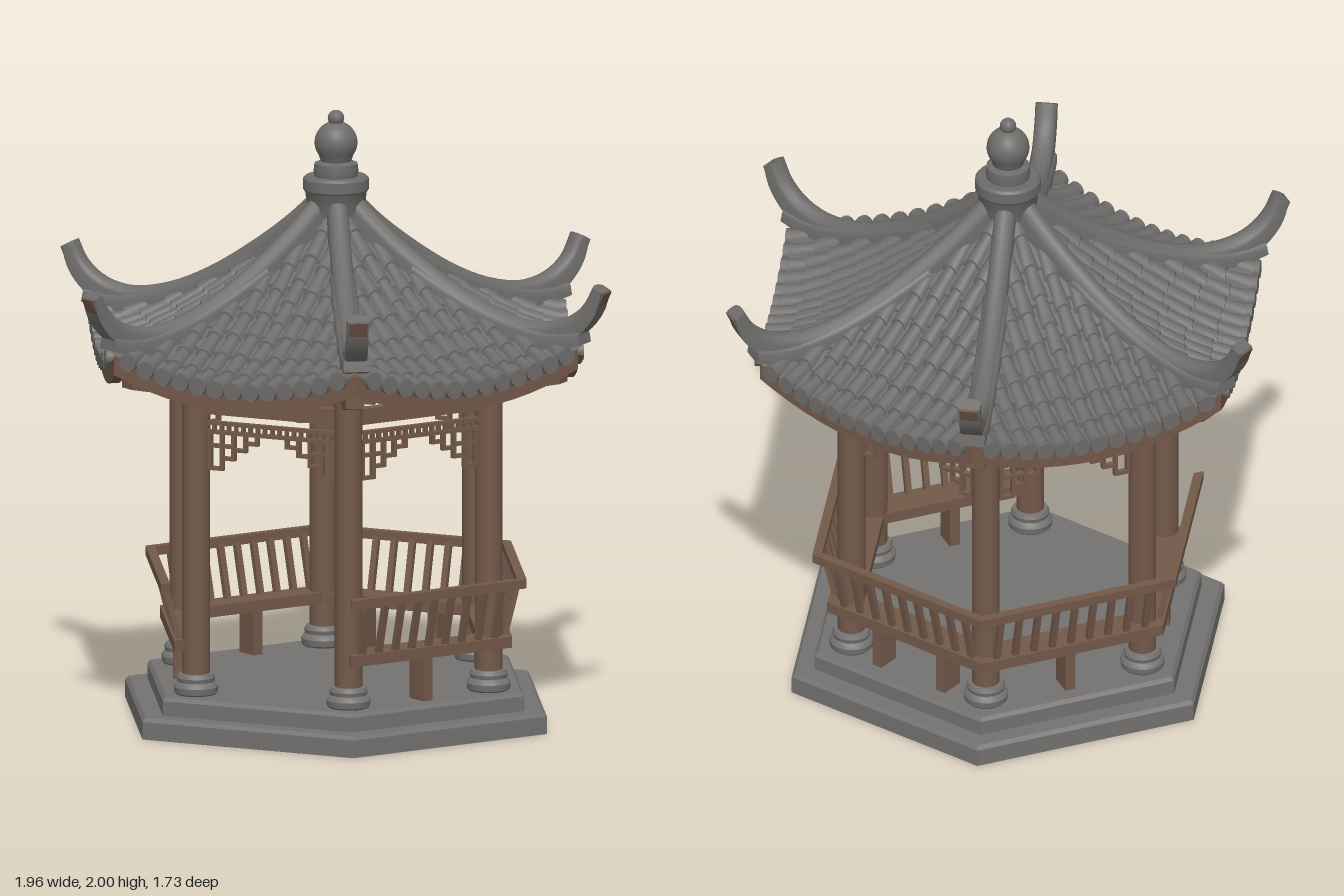
import * as THREE from 'three';
import { mergeGeometries, toCreasedNormals } from 'three/addons/utils/BufferGeometryUtils.js';

const T30 = Math.tan(Math.PI / 6);
const EAVE = 0.77; // distance from the axis to the middle of an eave

const mat = (name, color) => Object.assign(new THREE.MeshStandardMaterial({ color }), { name });

// Skin closed rings of points, with flat end caps
function loft(rings, crease = 0.6) {
  const n = rings[0].length, last = (rings.length - 1) * n, index = [];
  for (let i = 0; i < rings.length - 1; i++) {
    for (let j = 0; j < n; j++) {
      const a = i * n + j, b = i * n + (j + 1) % n;
      index.push(a, b, b + n, a, b + n, a + n);
    }
  }
  for (let j = 1; j < n - 1; j++) index.push(0, j + 1, j, last, last + j, last + j + 1);
  const g = new THREE.BufferGeometry();
  g.setAttribute('position', new THREE.Float32BufferAttribute(rings.flat(2), 3));
  g.setIndex(index);
  return toCreasedNormals(g, crease);
}

// Roof height: a = distance from the axis, s = -1..1 across the face
function roofY(a, s) {
  const t = Math.min(a / EAVE, 1);
  return 1.19 + 0.5 * Math.pow(1 - t, 1.4) + 0.09 * t * t * s * s;
}

// Bar along one hexagon side, mitred at both corners
function hexBar(z0, z1, y0, y1, lift = () => 0, n = 1) {
  const rings = [];
  for (let i = 0; i <= n; i++) {
    const s = -1 + 2 * i / n, d = lift(s);
    rings.push([[z0, y1], [z1, y1], [z1, y0], [z0, y0]].map(([z, y]) => [s * z * T30, y + d, z]));
  }
  return loft(rings);
}

// Round-topped ridge following points [x, y] outwards
function ridge(points, w, h0, h1) {
  return loft(points.map(([x, y], i) => {
    const p = points[Math.max(i - 1, 0)], q = points[Math.min(i + 1, points.length - 1)];
    const l = Math.hypot(q[0] - p[0], q[1] - p[1]);
    const nx = -(q[1] - p[1]) / l, ny = (q[0] - p[0]) / l;
    const f = i / (points.length - 1), h = h0 + (h1 - h0) * f * f * f, c = h * 0.35;
    const ring = [];
    for (let k = 0; k <= 6; k++) {
      const t = -Math.PI / 2 + k * Math.PI / 6;
      ring.push([c * Math.cos(t) - c, w * Math.sin(t)]);
    }
    ring.push([-h, w], [-h, -w]);
    return ring.map(([d, z]) => [x + nx * d, y + ny * d, z]);
  }), 0.7);
}

// Triangular roof sheet; step raises the lower end of each tile course
function roofSheet(dy, step, side) {
  const ny = 15, g = new THREE.PlaneGeometry(2, 1, 12, ny), p = g.attributes.position;
  for (let i = 0; i < p.count; i++) {
    const row = Math.round((0.5 - p.getY(i)) * ny), s = p.getX(i) * side;
    const a = EAVE * Math.max(0.02, Math.floor((row + 1) / 2) / 8);
    p.setXYZ(i, s * a * T30, roofY(a, s) + dy + (row % 2) * step, a);
  }
  g.deleteAttribute('uv');
  return toCreasedNormals(g, 0.5);
}

// One column of overlapping half-round tiles with a round end
function tileColumn(x) {
  const rings = [], start = Math.abs(x) / T30 + 0.03, step = 0.085;
  const ring = (a, r) => {
    const y = roofY(a, x / (a * T30)) + 0.004, out = [];
    for (let k = 0; k <= 6; k++) {
      const t = k * Math.PI / 6;
      out.push([x + r * Math.cos(t), y + r * Math.sin(t), a]);
    }
    rings.push(out);
  };
  const count = Math.max(1, Math.round((EAVE - start) / step));
  for (let i = 0; i < count; i++) {
    const a0 = start + (EAVE - start) * i / count, a1 = start + (EAVE - start) * (i + 1) / count;
    ring(a0, 0.022);
    ring(a1, 0.03);
  }
  const end = new THREE.CylinderGeometry(0.03, 0.03, 0.02, 12).rotateX(Math.PI / 2);
  end.translate(x, roofY(EAVE, x / (EAVE * T30)) + 0.008, EAVE - 0.003);
  end.deleteAttribute('uv');
  return [loft(rings, 0.7), end.toNonIndexed()];
}

// Rafter under the roof
function rafter(x) {
  const start = Math.abs(x) / T30 + 0.06, rings = [];
  for (let i = 0; i <= 6; i++) {
    const a = start + (0.73 - start) * i / 6, y = roofY(a, x / (a * T30)) - 0.02;
    rings.push([[-1, -0.04], [1, -0.04], [1, 0], [-1, 0]].map(([u, v]) => [x + u * 0.013, y + v, a]));
  }
  return loft(rings);
}

const box = (w, h, d, x, y, z) => {
  const g = new THREE.BoxGeometry(w, h, d).translate(x, y, z);
  g.deleteAttribute('uv');
  return g.toNonIndexed();
};

// Fretwork under the beam: pegged rail and stepped corner brackets
function fretwork() {
  const z = 0.476, t = 0.012, parts = [];
  for (const y of [1.03, 1.0]) parts.push(box(0.47, t, 0.02, 0, y, z));
  for (let i = -8; i <= 8; i++) parts.push(box(0.01, 0.03, 0.016, i * 0.026, 1.015, z));
  for (const m of [-1, 1]) {
    [0.88, 0.915, 0.945, 0.97].forEach((low, i) => {
      const x = 0.222 - i * 0.042;
      parts.push(box(t, 1 - low, 0.018, m * (x - 0.042), (1 + low) / 2, z));
      parts.push(box(0.054, t, 0.018, m * (x - 0.021), low, z));
      if (i < 2) parts.push(box(0.042, t, 0.018, m * (x - 0.021), 0.955, z));
    });
    parts.push(box(t, 0.12, 0.018, m * 0.222, 0.94, z));
  }
  return mergeGeometries(parts);
}

export function createModel() {
  const model = new THREE.Group();
  model.name = 'pavilion';
  const tile = mat('roof tile grey', 0x6d6c6a);
  const stone = mat('stone grey', 0x737270);
  const wood = mat('brown wood', 0x73594a);
  const add = (parent, name, geo, material) => {
    const m = new THREE.Mesh(geo, material);
    m.name = name;
    parent.add(m);
    return m;
  };

  // Two-step hexagonal plinth
  const plinth = (name, r, y0, y1) => {
    const g = new THREE.LatheGeometry([[0, y0], [r, y0], [r, y1 - 0.012], [r - 0.012, y1], [0, y1]]
      .map(p => new THREE.Vector2(...p)), 6, Math.PI / 6);
    add(model, name, toCreasedNormals(g, 0.3), stone);
  };
  plinth('lowerPlinth', 0.76, 0, 0.07);
  plinth('upperPlinth', 0.68, 0.06, 0.13);

  // Finial
  const profile = [[0, 1.66], [0.09, 1.66], [0.1, 1.73], [0.107, 1.74], [0.107, 1.775], [0.1, 1.783],
    [0.07, 1.783], [0.073, 1.8], [0.07, 1.825], [0.05, 1.832]].map(p => new THREE.Vector2(...p));
  for (let i = 1; i <= 10; i++) {
    const t = -0.85 + i * 0.22;
    profile.push(new THREE.Vector2(0.07 * Math.cos(t), 1.893 + 0.07 * Math.sin(t)));
  }
  for (let i = 0; i <= 6; i++) {
    const t = -0.9 + i * (Math.PI / 2 + 0.9) / 6;
    profile.push(new THREE.Vector2(Math.max(0, 0.027 * Math.cos(t)), 1.973 + 0.027 * Math.sin(t)));
  }
  add(model, 'finial', toCreasedNormals(new THREE.LatheGeometry(profile, 28), 0.6), tile);

  // Shared geometry for the six sides
  const columns = [], rafters = [];
  for (let j = -6; j <= 6; j++) columns.push(...tileColumn(j * 0.063));
  for (let j = -4; j <= 4; j++) rafters.push(rafter(j * 0.082));
  const tilesGeo = mergeGeometries(columns), raftersGeo = mergeGeometries(rafters);
  const sheetGeo = roofSheet(0, 0.012, 1), soffitGeo = roofSheet(-0.02, 0, -1);
  const fasciaGeo = hexBar(0.72, 0.755, -0.065, 0.0, s => roofY(EAVE, s), 14);
  const fretGeo = fretwork();
  const slatGeo = new THREE.BoxGeometry(0.02, 0.2, 0.018);

  for (let k = 0; k < 6; k++) {
    const side = new THREE.Group();
    side.name = 'side' + (k + 1);
    side.rotation.y = k * Math.PI / 3;
    model.add(side);
    add(side, 'roofSheet', sheetGeo, tile);
    add(side, 'roofTiles', tilesGeo, tile);
    add(side, 'soffit', soffitGeo, wood);
    add(side, 'rafters', raftersGeo, wood);
    add(side, 'fascia', fasciaGeo, wood);
    add(side, 'ringBeam', hexBar(0.445, 0.505, 1.18, 1.26), wood);
    add(side, 'crossBeam', hexBar(0.456, 0.496, 1.06, 1.112), wood);
    add(side, 'fretwork', fretGeo, wood);
    if (k === 0) continue; // the front stays open as the entrance

    // Bench with a leaning back rail
    add(side, 'benchSeat', hexBar(0.44, 0.55, 0.275, 0.312), wood);
    add(side, 'backRail', hexBar(0.565, 0.595, 0.475, 0.505), wood);
    for (let j = -4; j <= 4; j++) {
      const slat = add(side, 'slat', slatGeo, wood);
      slat.position.set(j * 0.065, 0.395, 0.552);
      slat.rotation.x = 0.24;
    }
    for (const x of k === 3 ? [-0.13, 0.13] : [0]) {
      add(side, 'benchLeg', box(0.036, 0.16, 0.08, x, 0.205, 0.49), wood);
    }
  }

  // Six corners: column, stone foot, hip beam and upswept ridge
  const path = new THREE.CatmullRomCurve3([[0.07, 1.735], [0.18, 1.635], [0.3, 1.545], [0.46, 1.445],
    [0.6, 1.385], [0.73, 1.362], [0.83, 1.382], [0.895, 1.43], [0.935, 1.498]]
    .map(([x, y]) => new THREE.Vector3(x, y, 0))).getPoints(32).map(p => [p.x, p.y]);
  const ridgeGeo = ridge(path, 0.035, 0.1, 0.042);
  const hipPoints = [];
  for (let i = 0; i <= 10; i++) {
    const r = 0.3 + 0.059 * i;
    hipPoints.push([r, roofY(r * 0.866, 1) + 0.04 + 0.03 * (i / 10) ** 4]);
  }
  const hipGeo = ridge(hipPoints, 0.042, 0.07, 0.05);
  const plateGeo = ridge([[0.928, 1.392], [0.95, 1.43], [0.971, 1.478]], 0.03, 0.009, 0.009);
  const beamGeo = loft([[0.4, 1.14, 1.22], [0.7, 1.14, 1.22], [0.82, 1.165, 1.24]]
    .map(([x, b, t]) => [[x, t, -0.03], [x, t, 0.03], [x, b, 0.03], [x, b, -0.03]]));
  const footGeo = toCreasedNormals(new THREE.LatheGeometry([[0.06, 0.125], [0.07, 0.135], [0.073, 0.155],
    [0.066, 0.168], [0.06, 0.172], [0.063, 0.185], [0.057, 0.198], [0.04, 0.2]]
    .map(p => new THREE.Vector2(...p)), 20), 0.6);
  const columnGeo = new THREE.CylinderGeometry(0.045, 0.045, 1.1, 20).translate(0, 0.73, 0);

  for (let k = 0; k < 6; k++) {
    const corner = new THREE.Group();
    corner.name = 'corner' + (k + 1);
    corner.rotation.y = k * Math.PI / 3;
    model.add(corner);
    add(corner, 'column', columnGeo, wood).position.x = 0.55;
    add(corner, 'columnFoot', footGeo, stone).position.x = 0.55;
    add(corner, 'hipBeam', beamGeo, wood);
    add(corner, 'hipBase', hipGeo, tile);
    add(corner, 'ridge', ridgeGeo, tile);
    add(corner, 'ridgeTipPlate', plateGeo, wood);
  }
  return model;
}
